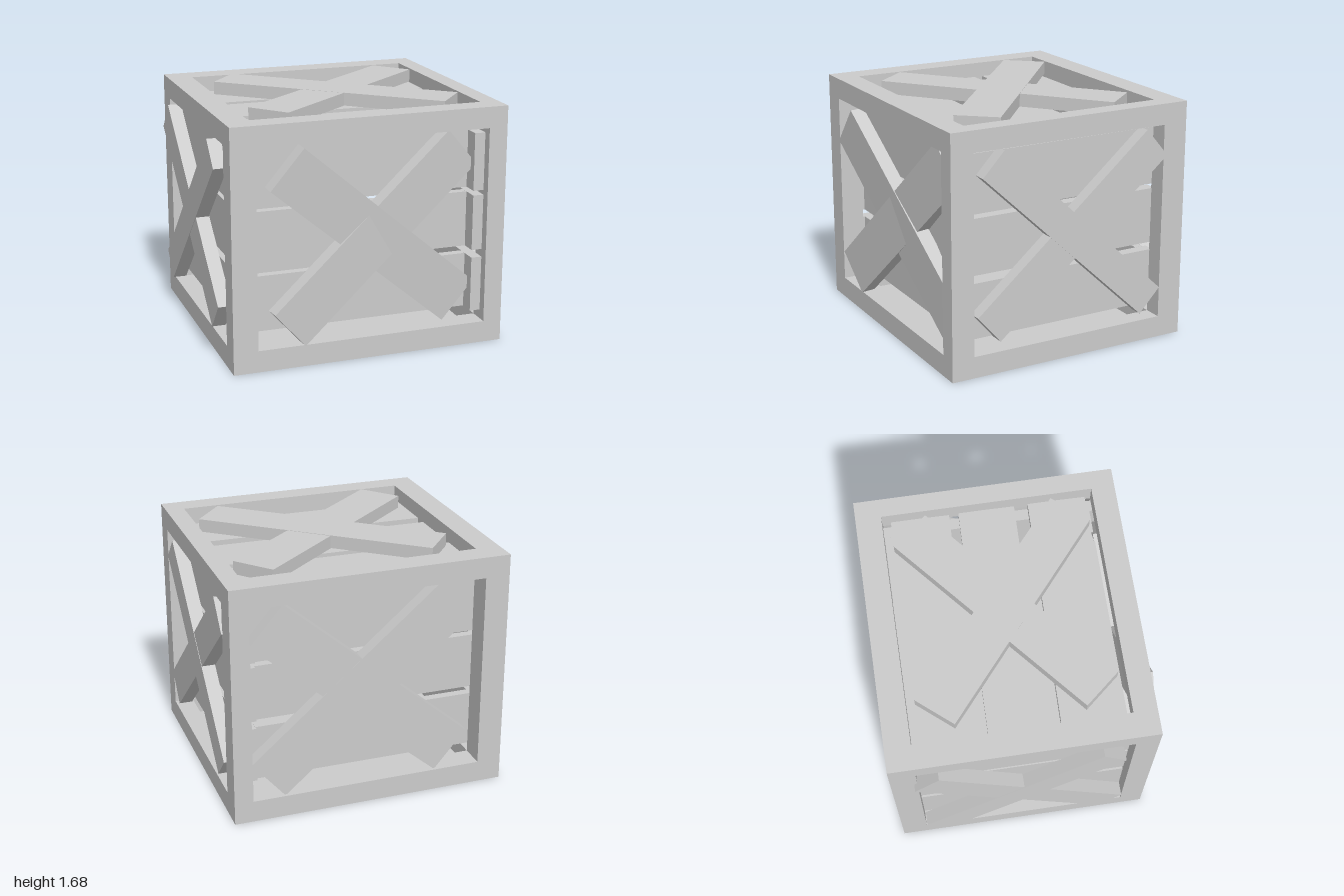
import * as THREE from 'three';

const material = new THREE.MeshStandardMaterial({ color: 0xcccccc, flatShading: true });

// Axis-aligned box from its minimum and maximum corners
function block(parent, name, [x0, y0, z0], [x1, y1, z1]) {
  const mesh = new THREE.Mesh(new THREE.BoxGeometry(x1 - x0, y1 - y0, z1 - z0), material);
  mesh.name = name;
  mesh.position.set((x0 + x1) / 2, (y0 + y1) / 2, (z0 + z1) / 2);
  parent.add(mesh);
  return mesh;
}

// Board whose outer face is centred on the line a-b and faces along the normal
function board(parent, name, a, b, normal, width, thickness) {
  const start = new THREE.Vector3(...a), end = new THREE.Vector3(...b);
  const along = end.clone().sub(start);
  const length = along.length();
  along.normalize();
  const out = new THREE.Vector3(...normal);
  out.addScaledVector(along, -out.dot(along)).normalize();
  const across = new THREE.Vector3().crossVectors(out, along);
  const mesh = new THREE.Mesh(new THREE.BoxGeometry(length, width, thickness), material);
  mesh.name = name;
  mesh.quaternion.setFromRotationMatrix(new THREE.Matrix4().makeBasis(along, across, out));
  mesh.position.copy(start).add(end).multiplyScalar(0.5).addScaledVector(out, -thickness / 2);
  parent.add(mesh);
}

function group(parent, name) {
  const g = new THREE.Group();
  g.name = name;
  parent.add(g);
  return g;
}

export function createModel() {
  const crate = new THREE.Group();
  crate.name = 'crate';

  // Outer limits and opening limits of the frame
  const X = [-0.945, -0.775, 0.845, 0.975];
  const Y = [0, 0.15, 1.52, 1.665];
  const Z = [-0.912, -0.737, 0.705, 0.865];

  // Frame: four posts, a ring of rails at the bottom and top, and a floor panel
  const frame = group(crate, 'frame');
  for (const i of [0, 2]) {
    for (const k of [0, 2]) {
      block(frame, 'post', [X[i], Y[1], Z[k]], [X[i + 1], Y[2], Z[k + 1]]);
    }
    for (const [name, j] of [['bottom', 0], ['top', 2]]) {
      block(frame, name + 'Rail', [X[0], Y[j], Z[i]], [X[3], Y[j + 1], Z[i + 1]]);
      block(frame, name + 'SideRail', [X[i], Y[j], Z[1]], [X[i + 1], Y[j + 1], Z[2]]);
    }
  }
  block(frame, 'floor', [X[1], 0, Z[1]], [X[2], 0.03, Z[2]]);

  // Three horizontal planks on each wall
  const planks = group(crate, 'planks');
  for (const [y0, y1] of [[0.215, 0.602], [0.657, 1.045], [1.078, 1.478]]) {
    block(planks, 'frontPlank', [-0.82, y0, 0.63], [0.77, y1, 0.69]).rotation.z = -0.002;
    block(planks, 'backPlank', [-0.82, y0, -0.735], [0.77, y1, -0.675]).rotation.z = 0.002;
    block(planks, 'leftPlank', [0.77, y0, -0.76], [0.848, y1, 0.8]).rotation.x = 0.002;
    block(planks, 'rightPlank', [-0.85, y0, -0.76], [-0.777, y1, 0.72]).rotation.x = -0.002;
  }

  // Three planks just inside the top opening
  for (const [z0, z1] of [[-0.69, -0.29], [-0.225, 0.16], [0.255, 0.65]]) {
    block(planks, 'topPlank', [-0.8, 1.505, z0], [0.845, 1.56, z1]).rotation.y = -0.015;
  }

  // Crossed braces: the front pair leans outwards at one end and sinks in at the other
  const braces = group(crate, 'braces');
  board(braces, 'frontBrace', [-0.58, 1.37, 0.906], [0.7, 0.28, 0.738], [0.076, -0.065, 1], 0.35, 0.1);
  board(braces, 'frontBrace', [-0.56, 0.27, 0.886], [0.7, 1.38, 0.76], [0.129, -0.033, 1], 0.34, 0.1);
  board(braces, 'backBrace', [-0.57, 1.385, -0.89], [0.73, 0.275, -0.89], [0, 0, -1], 0.35, 0.1);
  board(braces, 'backBrace', [-0.57, 0.275, -0.888], [0.73, 1.385, -0.888], [0, 0, -1], 0.35, 0.1);

  // Side braces
  for (const [name, x, s] of [['leftBrace', 0.99, 1], ['rightBrace', -0.997, -1]]) {
    board(braces, name, [x, 1.43, 0.57], [x, 0.29, -0.65], [s, 0, 0], 0.226, 0.095);
    board(braces, name, [x - s * 0.003, 1.41, -0.675], [x - s * 0.003, 0.32, 0.6], [s, 0, 0], 0.255, 0.095);
  }

  // Top braces
  board(braces, 'topBrace', [-0.59, 1.684, -0.56], [0.71, 1.676, 0.537], [0, 1, 0], 0.31, 0.09);
  board(braces, 'topBrace', [-0.59, 1.682, 0.537], [0.71, 1.674, -0.56], [0, 1, 0], 0.31, 0.09);

  return crate;
}
